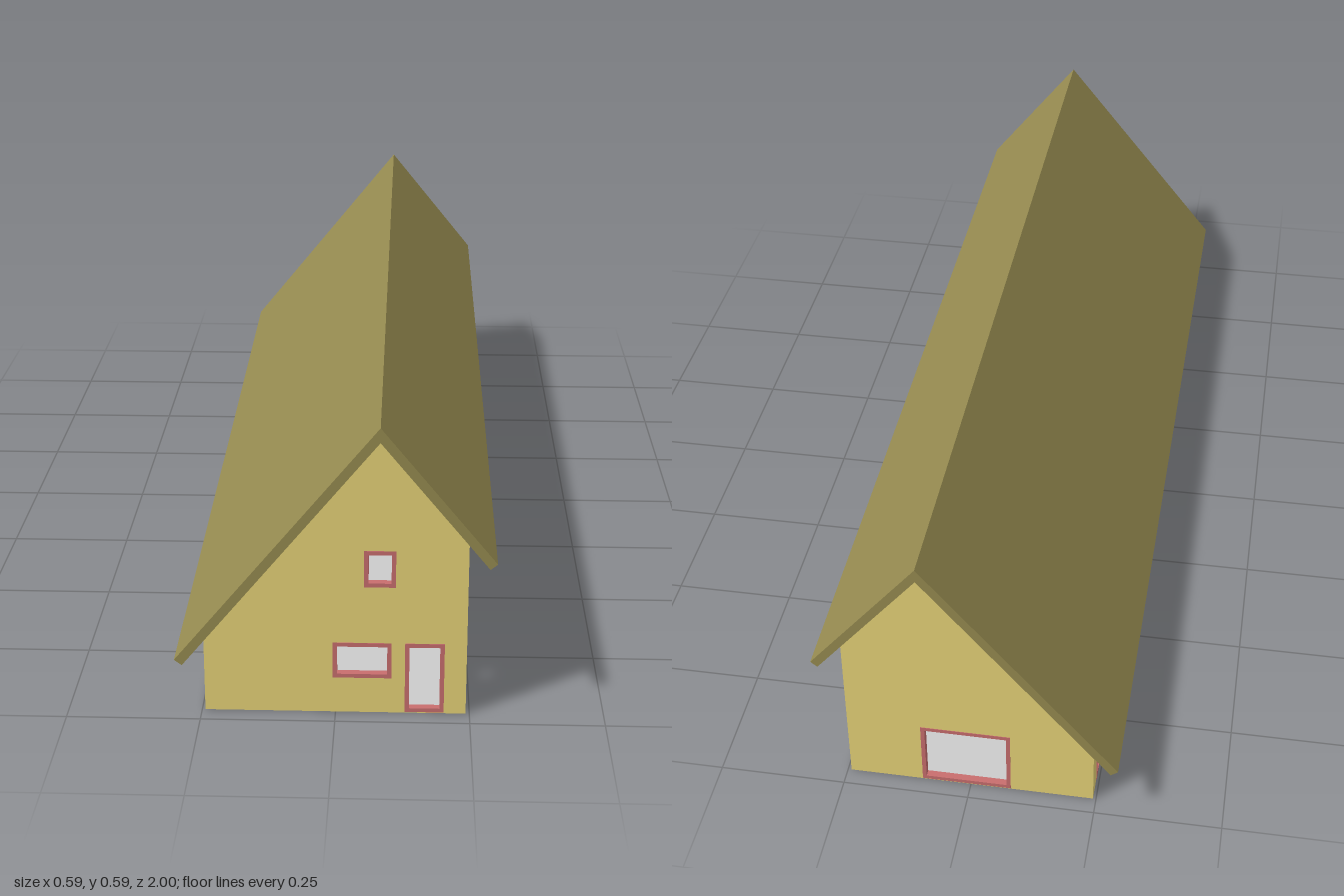
import * as THREE from 'three';

const T = 0.012;        // wall thickness
const F = 0.008;        // frame width
const LIP = 0.001;      // how far frames stand proud of the wall
const XL = -0.244, XR = 0.243, ZE = 0.965;
const RIDGE = [0.082, 0.56], SLOPE = 1.23;

const mat = (color) => new THREE.MeshStandardMaterial({ color, flatShading: true });
const wallMat = mat(0xe6d377);
const roofMat = mat(0x968b50);
const frameMat = mat(0xc86e6e);
const floorMat = mat(0xcccccc);

const rect = (u0, u1, y0, y1) => [[u0, y0], [u1, y0], [u1, y1], [u0, y1]];
const toVectors = (pts) => pts.map(([x, y]) => new THREE.Vector2(x, y));

function extrude(outline, holes, depth) {
  const shape = new THREE.Shape(toVectors(outline));
  for (const h of holes) shape.holes.push(new THREE.Path(toVectors(h)));
  return new THREE.ExtrudeGeometry(shape, { depth, bevelEnabled: false });
}

function addMesh(parent, name, geometry, material) {
  const mesh = new THREE.Mesh(geometry, material);
  mesh.name = name;
  parent.add(mesh);
  return mesh;
}

// A wall in its own plane, pierced by openings [name, u0, u1, y0, y1], each with a frame
function makeWall(name, outline, openings) {
  const group = new THREE.Group();
  group.name = name;
  const h = F / 2;
  const holes = openings.map(([, a, b, c, d]) => rect(a + h, b - h, c + h, d - h));
  addMesh(group, name + 'Panel', extrude(outline, holes, T), wallMat);
  for (const [label, a, b, c, d] of openings) {
    const inner = rect(a + F, b - F, c + F, d - F);
    const frame = addMesh(group, label + 'Frame', extrude(rect(a, b, c, d), [inner], T + 2 * LIP), frameMat);
    frame.position.z = -LIP;
  }
  return group;
}

export function createModel() {
  const model = new THREE.Group();
  model.name = 'longHouse';

  // Asymmetric gable ends
  const roofY = (x) => RIDGE[1] - SLOPE * Math.abs(x - RIDGE[0]);
  const gable = [[XL, 0], [XR, 0], [XR, roofY(XR)], RIDGE, [XL, roofY(XL)]];
  const front = makeWall('frontWall', gable, [
    ['wideWindow', -0.005, 0.104, 0.073, 0.146],
    ['frontDoor', 0.129, 0.202, 0.002, 0.146],
    ['upperWindow', 0.053, 0.111, 0.261, 0.334],
  ]);
  front.position.z = ZE - T;
  const back = makeWall('backWall', gable, [['garageDoor', -0.08, 0.097, 0.002, 0.146]]);
  back.position.z = -ZE;

  // Long side walls: centre positions of the openings along z
  const W = 0.054;
  const row = (label, centres, y0, y1) => centres.map((z) => [label, z - W / 2, z + W / 2, y0, y1]);
  const rightDoors = [0.86, 0.73, 0.61, 0.54, 0.38, 0.31, 0.185, 0.035,
    -0.094, -0.158, -0.302, -0.434, -0.522, -0.64, -0.75, -0.875];
  const rightWindows = [0.833, 0.775, 0.613, 0.486, 0.393, 0.26, 0.158, 0.035,
    -0.062, -0.187, -0.302, -0.408, -0.56, -0.67, -0.755, -0.872];
  const leftDoors = [0.86, 0.73, 0.633, 0.522, 0.375, 0.148, 0.057, -0.11,
    -0.175, -0.282, -0.435, -0.497, -0.65, -0.795, -0.89];
  const sideOutline = (x) => rect(-ZE + T, ZE - T, 0, roofY(x));
  const right = makeWall('highSideWall', sideOutline(XR), [
    ...row('sideDoor', rightDoors, 0.002, 0.146),
    ...row('sideWindow', rightWindows, 0.268, 0.34),
  ]);
  const left = makeWall('lowSideWall', sideOutline(XL), row('sideDoor', leftDoors, 0.002, 0.146));
  right.rotation.y = left.rotation.y = -Math.PI / 2;
  right.position.x = XR;
  left.position.x = XL + T;
  model.add(front, back, right, left);

  // Roof: two unequal slabs meeting at the ridge
  const roof = addMesh(model, 'roof', extrude([
    [-0.281, 0.113], RIDGE, [0.28, 0.317], [0.293, 0.328], [0.082, 0.588], [-0.295, 0.124],
  ], [], 2), roofMat);
  roof.position.z = -1;

  // Floor slab inside the walls
  const floor = addMesh(model, 'floor',
    new THREE.BoxGeometry(XR - XL - 2 * T, 0.004, 2 * (ZE - T)), floorMat);
  floor.position.set((XL + XR) / 2, 0.002, 0);

  return model;
}
